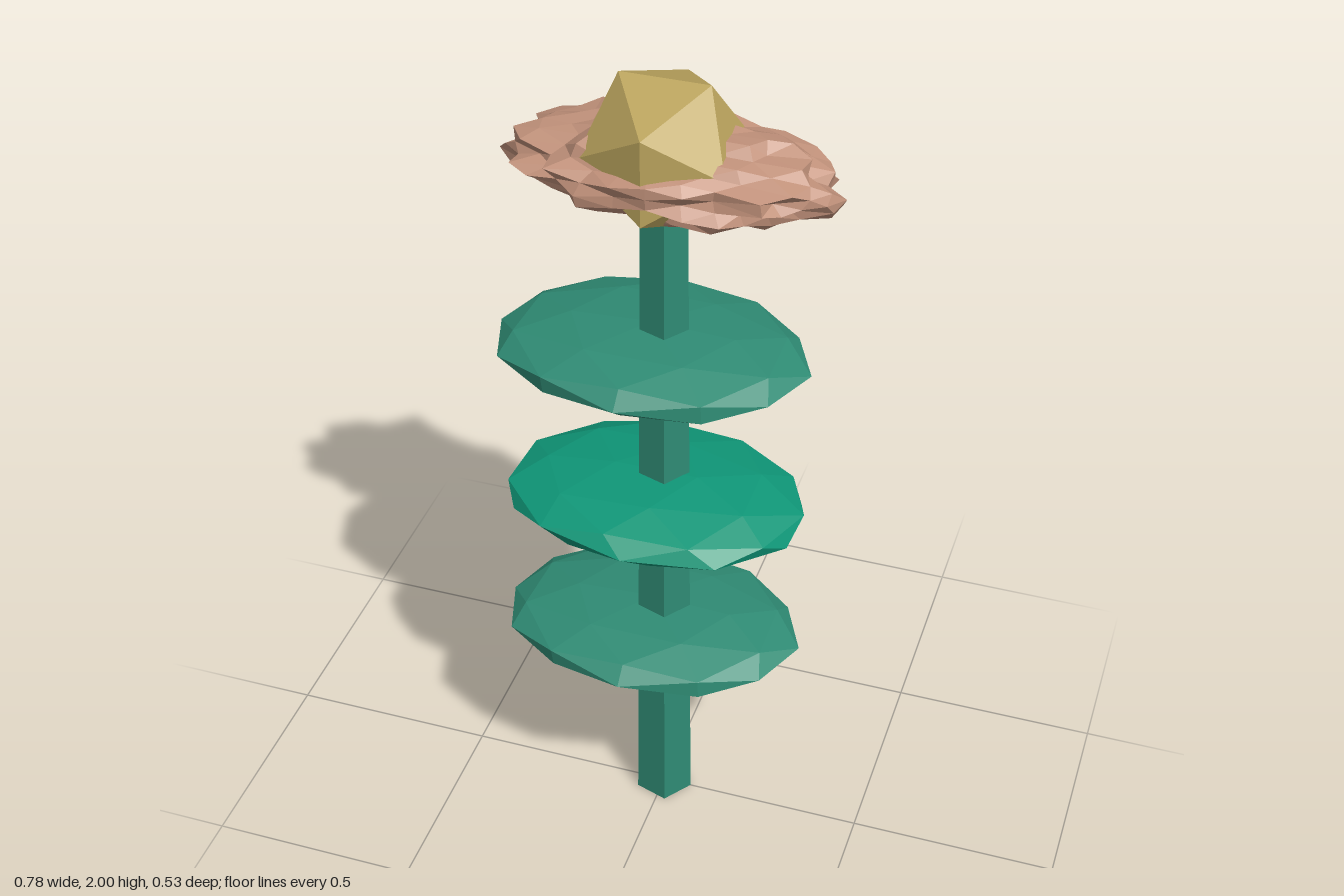
import * as THREE from 'three';

const mat = (color) => new THREE.MeshStandardMaterial({ color, flatShading: true });

function add(group, name, geometry, material, x, y, z) {
  const mesh = new THREE.Mesh(geometry, material);
  mesh.name = name;
  mesh.position.set(x, y, z);
  group.add(mesh);
  return mesh;
}

// Repeatable 0..1 value for a direction, so coincident corners move together
function hash(v) {
  const k = [v.x, v.y, v.z].map((c) => Math.round(c * 1000));
  const s = Math.sin(k[0] * 12.9898 + k[1] * 78.233 + k[2] * 37.719) * 43758.5453;
  return s - Math.floor(s);
}

// Faceted ball whose corners are pushed in and out by a given amount
function roughBall(detail, amount) {
  const geo = new THREE.IcosahedronGeometry(1, detail);
  const p = geo.attributes.position;
  const v = new THREE.Vector3();
  for (let i = 0; i < p.count; i++) {
    v.fromBufferAttribute(p, i);
    v.multiplyScalar(1 + amount * (hash(v) * 2 - 1));
    p.setXYZ(i, v.x, v.y, v.z);
  }
  return geo;
}

export function createModel() {
  const group = new THREE.Group();
  group.name = 'flower';
  const green = mat(0x2f8b74);
  const teal = mat(0x0f9778);

  // Tapered five-sided stem, one corner towards +x
  const stem = new THREE.CylinderGeometry(0.053, 0.07, 1.8, 5);
  stem.rotateY(Math.PI / 2);
  add(group, 'stem', stem, green, 0, 0.9, 0);

  // Three flat leaf discs, the middle one turned and brighter
  [0.543, 0.94, 1.335].forEach((y, i) => {
    const middle = i === 1;
    const geo = roughBall(1, 0.02);
    if (middle) geo.rotateZ(0.28);
    geo.scale(0.36, 0.068, 0.26);
    add(group, 'leaf' + (i + 1), geo, middle ? teal : green, middle ? -0.015 : -0.03, y, middle ? 0.013 : 0);
  });

  // Ragged spiky petal mass
  const petals = roughBall(4, 0.13);
  petals.scale(0.35, 0.1, 0.165);
  add(group, 'petals', petals, mat(0xc2927b), 0.012, 1.797, -0.01);

  // Faceted flower centre
  add(group, 'flowerCentre', new THREE.IcosahedronGeometry(0.19, 0), mat(0xbca55e), 0, 1.838, -0.005);

  return group;
}
